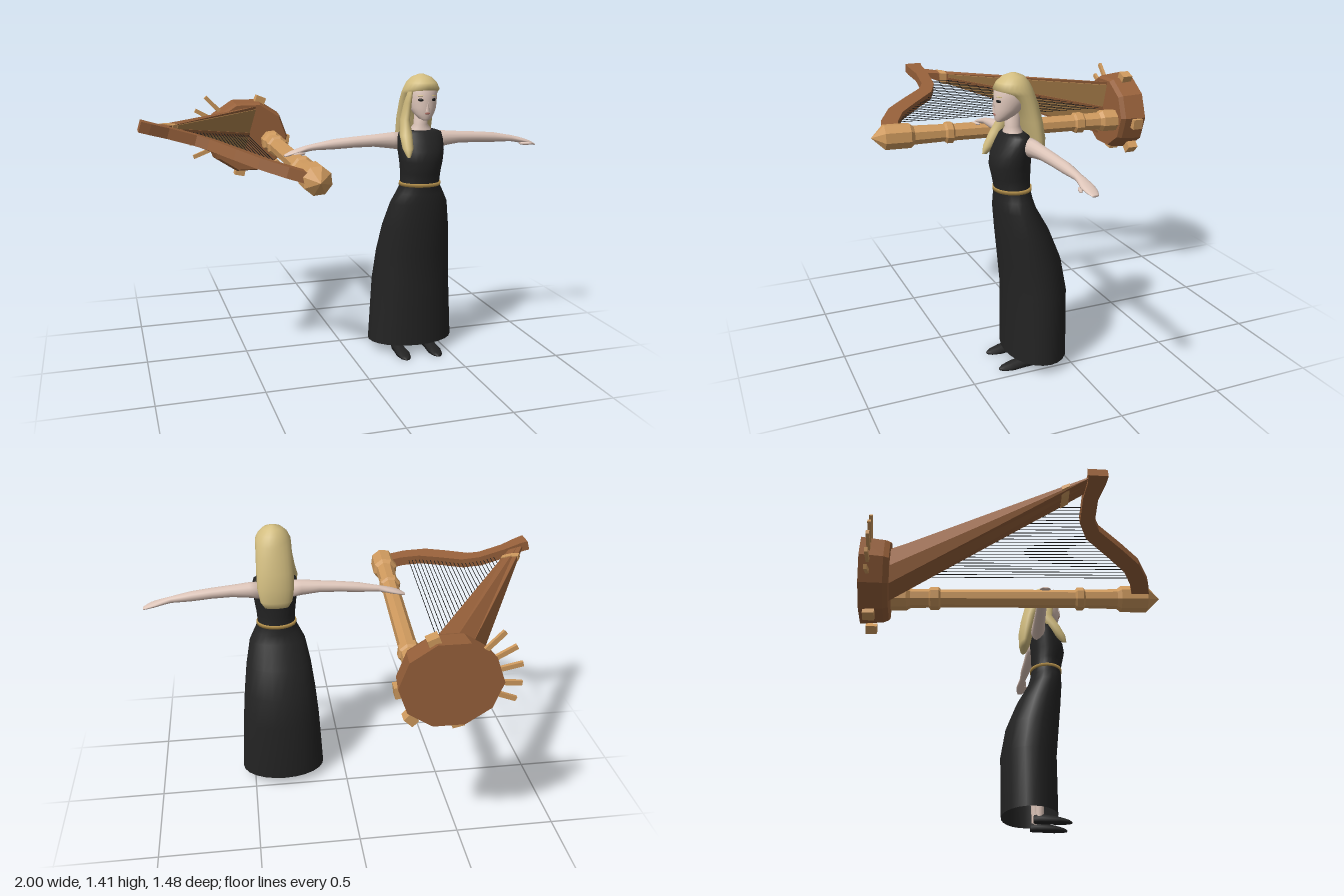
import * as THREE from 'three';

const mat = (name, color, side = THREE.FrontSide) => {
  const m = new THREE.MeshStandardMaterial({ color, side });
  m.name = name;
  return m;
};
const V = (x, y, z) => new THREE.Vector3(x, y, z);
const lerp = THREE.MathUtils.lerp;

// Skin a list of equal-sized rings; faces are turned outward by signed volume
function loft(rings, { flat = false, capStart = true, capEnd = true } = {}) {
  const n = rings[0].length, pts = rings.flat(), idx = [];
  for (let j = 0; j < rings.length - 1; j++)
    for (let i = 0; i < n; i++) {
      const a = j * n + i, b = j * n + (i + 1) % n;
      idx.push(a, b, b + n, a, b + n, a + n);
    }
  const cap = (ring, start, flip) => {
    const c = pts.length;
    pts.push(ring.reduce((s, p) => s.add(p), V(0, 0, 0)).divideScalar(n));
    for (let i = 0; i < n; i++) {
      const a = start + i, b = start + (i + 1) % n;
      idx.push(c, flip ? b : a, flip ? a : b);
    }
  };
  if (capStart) cap(rings[0], 0, true);
  if (capEnd) cap(rings[rings.length - 1], (rings.length - 1) * n, false);
  const mid = pts.reduce((s, p) => s.add(p), V(0, 0, 0)).divideScalar(pts.length);
  let vol = 0;
  for (let i = 0; i < idx.length; i += 3) {
    const [a, b, c] = [0, 1, 2].map(k => pts[idx[i + k]].clone().sub(mid));
    vol += a.dot(b.cross(c));
  }
  if (vol < 0) idx.reverse();
  const g = new THREE.BufferGeometry().setFromPoints(pts);
  g.setIndex(idx);
  return finish(g, flat);
}

function finish(g, flat) {
  const out = flat && g.index ? g.toNonIndexed() : g;
  out.computeVertexNormals();
  return out;
}

// Elliptical horizontal ring: height, half width, front z, back z, centre x
function ring(y, rx, zf, zb, cx = 0, n = 24) {
  return Array.from({ length: n }, (_, i) => {
    const t = i / n * Math.PI * 2;
    return V(cx + rx * Math.sin(t), y, (zf + zb) / 2 + (zf - zb) / 2 * Math.cos(t));
  });
}

export function createModel() {
  const black = mat('dress black', 0x232323, THREE.DoubleSide);
  const skin = mat('skin', 0xdcc4b8);
  const blonde = mat('blonde hair', 0xd2bd80);
  const gold = mat('belt gold', 0xb08d4a);
  const brown = mat('dark wood', 0x96603a);
  const tan = mat('light wood', 0xcf9a5e);
  const board = mat('soundboard wood', 0xa97e4a);
  const dark = mat('string black', 0x1a1a1a);
  const lip = mat('lip red', 0xa86a60);
  const model = new THREE.Group();
  model.name = 'harpist';
  const add = (parent, name, geo, m, pos) => {
    const mesh = new THREE.Mesh(geo, m);
    mesh.name = name;
    if (pos) mesh.position.set(...pos);
    parent.add(mesh);
    return mesh;
  };

  // ---- Woman ----
  const woman = new THREE.Group();
  woman.name = 'woman';
  woman.position.x = 0.34;
  model.add(woman);
  const stack = (name, rows, m, opt) =>
    add(woman, name, loft(rows.map(r => ring(...r)), opt), m);

  stack('dress', [
    [0.05, 0.222, 0.285, -0.012], [0.37, 0.203, 0.285, -0.016], [0.53, 0.188, 0.3, 0.012],
    [0.67, 0.17, 0.313, 0.068], [0.79, 0.145, 0.322, 0.135], [0.84, 0.12, 0.322, 0.15],
    [0.885, 0.097, 0.32, 0.157], [0.94, 0.1, 0.33, 0.157], [1.0, 0.108, 0.343, 0.155],
    [1.05, 0.115, 0.335, 0.152], [1.1, 0.116, 0.308, 0.155], [1.135, 0.108, 0.288, 0.165],
    [1.148, 0.075, 0.28, 0.185]], black, { capStart: false });
  stack('belt', [[0.877, 0.104, 0.326, 0.15], [0.894, 0.104, 0.326, 0.15]], gold);
  stack('neck', [[1.11, 0.062, 0.283, 0.18], [1.152, 0.052, 0.277, 0.19],
    [1.175, 0.034, 0.268, 0.198], [1.25, 0.032, 0.27, 0.2]], skin);
  stack('head', [
    [1.2, 0.014, 0.31, 0.285], [1.208, 0.03, 0.316, 0.26], [1.23, 0.049, 0.32, 0.22],
    [1.26, 0.065, 0.322, 0.18], [1.3, 0.073, 0.319, 0.15], [1.34, 0.074, 0.317, 0.145],
    [1.375, 0.06, 0.298, 0.16], [1.4, 0.025, 0.26, 0.2]], skin);
  stack('hair', [
    [1.02, 0.06, 0.135, 0.097], [1.05, 0.08, 0.15, 0.09], [1.12, 0.092, 0.178, 0.087],
    [1.2, 0.093, 0.2, 0.1], [1.28, 0.09, 0.237, 0.12], [1.325, 0.089, 0.285, 0.135],
    [1.345, 0.088, 0.322, 0.142], [1.375, 0.074, 0.306, 0.158], [1.4, 0.048, 0.278, 0.18],
    [1.414, 0.012, 0.24, 0.215]], blonde);
  // Lock falling over the right shoulder
  stack('frontLock', [
    [1.03, 0.008, 0.345, 0.32, -0.095], [1.07, 0.026, 0.34, 0.28, -0.092],
    [1.13, 0.03, 0.31, 0.24, -0.09], [1.2, 0.022, 0.27, 0.2, -0.082],
    [1.28, 0.017, 0.28, 0.22, -0.074], [1.335, 0.012, 0.285, 0.25, -0.068]], blonde);
  const nose = add(woman, 'nose', new THREE.ConeGeometry(0.011, 0.045, 8), skin, [0, 1.267, 0.322]);
  nose.rotation.x = 0.2;
  const blob = (name, m, pos, scale, turn = 0) => {
    const b = add(woman, name, new THREE.SphereGeometry(1, 12, 8), m, pos);
    b.scale.set(...scale);
    b.rotation.y = turn;
  };
  blob('mouth', lip, [0, 1.234, 0.3195], [0.014, 0.0045, 0.004]);

  // Mirrored limbs and face details
  for (const s of [-1, 1]) {
    const side = s > 0 ? 'left' : 'right';
    blob(side + 'Eye', dark, [s * 0.033, 1.298, 0.312], [0.014, 0.007, 0.004], s * 0.5);
    blob(side + 'Brow', blonde, [s * 0.035, 1.317, 0.31], [0.016, 0.0025, 0.004], s * 0.5);
    // x, y, half height, z, half depth
    const arm = [
      [0.08, 1.088, 0.045, 0.185, 0.036], [0.13, 1.092, 0.04, 0.185, 0.037],
      [0.22, 1.094, 0.03, 0.18, 0.032], [0.32, 1.09, 0.027, 0.175, 0.029],
      [0.42, 1.083, 0.025, 0.168, 0.027], [0.52, 1.073, 0.016, 0.163, 0.019],
      [0.555, 1.066, 0.015, 0.162, 0.024], [0.6, 1.055, 0.013, 0.162, 0.031],
      [0.635, 1.045, 0.01, 0.16, 0.026], [0.66, 1.036, 0.005, 0.158, 0.016]];
    add(woman, side + 'Arm', loft(arm.map(([x, y, ry, z, rz]) =>
      Array.from({ length: 14 }, (_, i) => {
        const t = i / 14 * Math.PI * 2;
        return V(s * x, y + ry * Math.cos(t), z + rz * Math.sin(t));
      }))), skin);
    blob(side + 'Thumb', skin, [s * 0.595, 1.046, 0.192], [0.034, 0.008, 0.009], s * -0.35);
    add(woman, side + 'Leg', new THREE.CylinderGeometry(0.035, 0.021, 0.32, 12), skin, [s * 0.085, 0.19, 0.18]);
    // Shoes: z, half width, height
    const shoe = [[0.15, 0.018, 0.038], [0.18, 0.026, 0.046], [0.22, 0.027, 0.04],
      [0.28, 0.033, 0.03], [0.325, 0.024, 0.018], [0.345, 0.008, 0.01]];
    add(woman, side + 'Shoe', loft(shoe.map(([z, w, h]) =>
      [[-1, 0], [1, 0], [1, 0.45], [0.55, 0.95], [-0.55, 0.95], [-1, 0.45]]
        .map(([u, v]) => V(s * 0.085 + u * w, v * h, z)))), black);
  }

  // ---- Harp: local x runs from pillar to soundbox, z along the pillar ----
  const harp = new THREE.Group();
  harp.name = 'harp';
  harp.position.set(-0.25, 1.0, 0);
  harp.rotation.z = Math.PI - 0.294;
  model.add(harp);

  // Eight-sided pillar with collars and pointed cap
  const profile = [[0, -0.62], [0.06, -0.62], [0.06, -0.53], [0.048, -0.51], [0.046, -0.42],
    [0.057, -0.41], [0.057, -0.37], [0.045, -0.36], [0.045, 0.31], [0.057, 0.32], [0.057, 0.35],
    [0.046, 0.36], [0.05, 0.52], [0.066, 0.54], [0.066, 0.67], [0, 0.735]];
  const pillar = new THREE.LatheGeometry(profile.map(p => new THREE.Vector2(...p)), 8);
  pillar.rotateX(Math.PI / 2).rotateY(0.054);
  add(harp, 'pillar', finish(pillar, true), tan, [0.0075, 0, 0]);

  // Soundbox: tapered half-round hull, position t from base to tip
  const hull = (t, grow = 1) => {
    const h = lerp(0.165, 0.024, t), z = lerp(-0.62, 0.2, t);
    const front = lerp(0.1, 0.63, t), d1 = lerp(0.08, 0.045, t), d2 = lerp(0.132, 0.075, t);
    const c = front + d2 / 2;
    return [[front, -1], [front, 1], [front + d1, 0.78], [front + d2, 0.36],
      [front + d2, -0.36], [front + d1, -0.78]]
      .map(([a, w]) => V(c + (a - c) * grow, w * h * grow, z));
  };
  add(harp, 'soundbox', loft([hull(0), hull(1.08)], { flat: true }), brown);
  add(harp, 'soundboxCollar', loft([hull(0.95, 1.12), hull(0.99, 1.12)], { flat: true }), tan);
  const plate = (name, m, width, lift, t0, t1) => add(harp, name, loft([t0, t1].map(t => {
    const a = lerp(0.1, 0.63, t), z = lerp(-0.62, 0.2, t), w = width(t);
    return [[0.002, -w], [0.002, w], [-lift, w], [-lift, -w]].map(([u, v]) => V(a + u, v, z));
  }), { flat: true }), m);
  plate('soundboard', board, t => 0.9 * lerp(0.165, 0.024, t), 0.005, 0.02, 0.94);
  plate('stringRib', brown, () => 0.012, 0.009, 0.02, 0.94);

  // Curved neck: local x, z, half height
  const neck = [[0.775, 0.305, 0.045], [0.735, 0.305, 0.04], [0.65, 0.29, 0.034], [0.52, 0.295, 0.034],
    [0.45, 0.33, 0.036], [0.345, 0.455, 0.038], [0.26, 0.55, 0.04], [0.157, 0.61, 0.042], [0.03, 0.64, 0.045]];
  add(harp, 'neck', loft(neck.map(([a, z, h], i) => {
    const p = neck[Math.max(i - 1, 0)], q = neck[Math.min(i + 1, neck.length - 1)];
    const dx = q[0] - p[0], dz = q[1] - p[1], l = Math.hypot(dx, dz);
    return [[-1, -1], [1, -1], [1, 1], [-1, 1]].map(([u, v]) =>
      V(a - dz / l * u * h, v * 0.024, z + dx / l * u * h));
  }), { flat: true }), brown);

  // Strings from the rib to the neck, parallel to the pillar
  const neckZ = a => {
    const i = Math.max(1, neck.findIndex(p => p[0] <= a));
    const [p, q] = [neck[i - 1], neck[i]];
    return lerp(p[1], q[1], (a - p[0]) / (q[0] - p[0]));
  };
  for (let i = 0; i < 24; i++) {
    const t = lerp(0.03, 0.9, i / 23);
    const from = V(lerp(0.1, 0.63, t), 0, lerp(-0.62, 0.2, t)), to = from.clone();
    for (let k = 0; k < 4; k++) {
      to.z = neckZ(to.x);
      to.x = from.x + 0.054 * (to.z - from.z);
    }
    const dir = to.clone().sub(from);
    const s = add(harp, 'string', new THREE.CylinderGeometry(0.0018, 0.0018, dir.length(), 5), dark);
    s.position.copy(from).addScaledVector(dir, 0.5);
    s.quaternion.setFromUnitVectors(V(0, 1, 0), dir.normalize());
  }

  // Ten-sided base with bevelled front
  const base = new THREE.Group();
  base.name = 'harpBase';
  base.position.set(-0.35, 1.015, 0);
  model.add(base);
  add(base, 'baseDisc', loft([[-0.742, 1], [-0.63, 0.95], [-0.605, 0.9]].map(([z, k]) =>
    Array.from({ length: 10 }, (_, i) => {
      const t = i / 10 * Math.PI * 2;
      return V(0.233 * k * Math.cos(t), 0.21 * k * Math.sin(t), z);
    })), { flat: true }), brown);
  // Feet around the rim: offset x, y
  for (const [x, y] of [[0.08, 0.2], [0.222, -0.03], [0.165, -0.175], [-0.045, -0.205]]) {
    const foot = add(base, 'foot', new THREE.BoxGeometry(0.04, 0.055, 0.055), tan, [x, y, -0.695]);
    foot.rotation.z = Math.atan2(y, x);
  }
  // Fan of tuning pedals
  for (const deg of [134, 151, 168, 186, 201]) {
    const t = deg * Math.PI / 180;
    const pedal = add(base, 'pedal', new THREE.BoxGeometry(0.12, 0.022, 0.016), tan,
      [0.265 * Math.cos(t), 0.25 * Math.sin(t), -0.7]);
    pedal.rotation.z = t;
  }
  return model;
}
